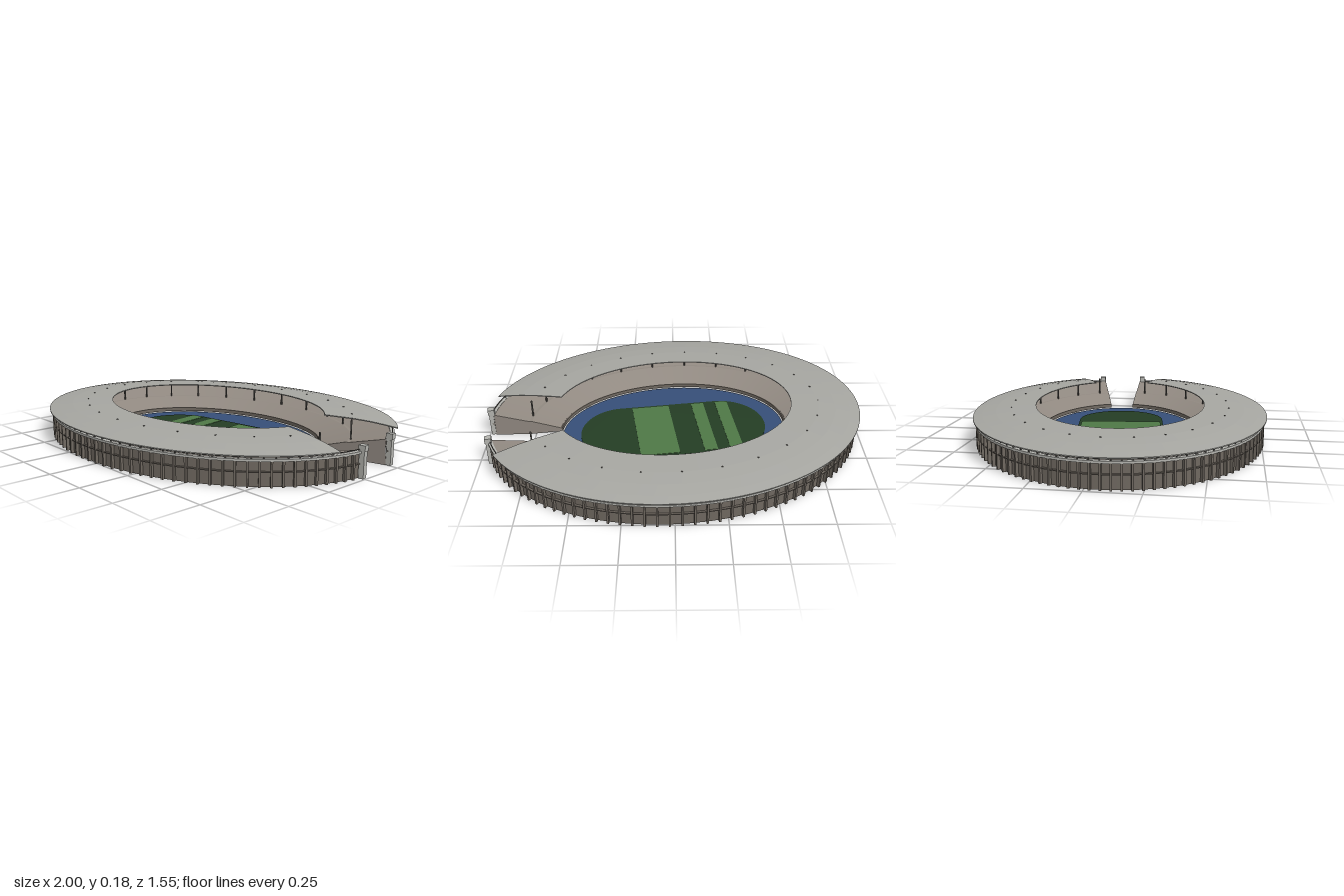
import * as THREE from 'three';
import { mergeGeometries } from 'three/addons/utils/BufferGeometryUtils.js';

const mat = (name, color, side = THREE.FrontSide) => {
  const m = new THREE.MeshStandardMaterial({ color, side });
  m.name = name;
  return m;
};

// Nested ellipses: half length a, matching half width b
const halfWidth = a => 0.421 + (a - 0.603) * 0.865;
const onRing = (a, t, y) => new THREE.Vector3(a * Math.cos(t), y, halfWidth(a) * Math.sin(t));

// Sweep an [a, y] profile round the oval; every profile edge is its own smooth strip
function sweep(profile, gap, { closed = false, caps = false, steps = 144 } = {}) {
  const pos = [], index = [];
  const put = (a, t, y) => pos.push(...onRing(a, t, y).toArray());
  const edges = closed ? profile.length : profile.length - 1;
  for (let e = 0; e < edges; e++) {
    const p = profile[e], q = profile[(e + 1) % profile.length];
    const base = pos.length / 3;
    for (let i = 0; i <= steps; i++) {
      const t = gap + (i / steps) * (2 * Math.PI - 2 * gap);
      put(p[0], t, p[1]);
      put(q[0], t, q[1]);
      if (i < steps) {
        const k = base + 2 * i;
        index.push(k, k + 1, k + 2, k + 1, k + 3, k + 2);
      }
    }
  }
  if (caps) {
    const faces = THREE.ShapeUtils.triangulateShape(profile.map(p => new THREE.Vector2(...p)), []);
    for (const t of [gap, -gap]) {
      const base = pos.length / 3;
      profile.forEach(p => put(p[0], t, p[1]));
      faces.forEach(([i, j, k]) => index.push(base + i, base + (t > 0 ? j : k), base + (t > 0 ? k : j)));
    }
  }
  const g = new THREE.BufferGeometry();
  g.setAttribute('position', new THREE.Float32BufferAttribute(pos, 3));
  g.setIndex(index);
  g.computeVertexNormals();
  return g;
}

// Repeated upright posts spaced round the oval
function posts(count, a, y0, y1, depth, width, gap) {
  const list = [];
  for (let i = 0; i < count; i++) {
    const t = gap + ((i + 0.5) / count) * (2 * Math.PI - 2 * gap);
    const p = onRing(a, t, (y0 + y1) / 2);
    const outward = Math.atan2(Math.sin(t) / halfWidth(a), Math.cos(t) / a);
    list.push(new THREE.BoxGeometry(depth, y1 - y0, width).rotateY(-outward).translate(p.x, p.y, p.z));
  }
  return mergeGeometries(list);
}

export function createModel() {
  const model = new THREE.Group();
  model.name = 'stadium';
  const roofGrey = mat('roofGrey', 0xa6a6a1, THREE.DoubleSide);
  const seatGrey = mat('seatingGrey', 0x918981, THREE.DoubleSide);
  const wallBrown = mat('wallBrown', 0x6f6860, THREE.DoubleSide);
  const steel = mat('darkSteel', 0x55524e);
  const stone = mat('paleStone', 0xb4b4af, THREE.DoubleSide);
  const blue = mat('trackBlue', 0x364f78);
  const dark = mat('darkGrass', 0x243d24);
  const light = mat('lightGrass', 0x4f7846);

  const add = (name, geometry, material) => {
    const mesh = new THREE.Mesh(geometry, material);
    mesh.name = name;
    model.add(mesh);
    return mesh;
  };
  const band = (a0, a1, y0, y1) => [[a0, y0], [a1, y0], [a1, y1], [a0, y1]];
  const gap = 0.155, roofGap = 0.36;

  // Oval running track
  const track = new THREE.CylinderGeometry(1, 1, 0.008, 128);
  track.scale(0.603, 1, halfWidth(0.603)).translate(0, 0.014, 0);
  add('track', track, blue);

  // Round-ended field
  const field = new THREE.Shape();
  field.absarc(0.267, 0, 0.237, -Math.PI / 2, Math.PI / 2);
  field.absarc(-0.267, 0, 0.237, Math.PI / 2, Math.PI * 1.5);
  field.closePath();
  const grass = new THREE.ExtrudeGeometry(field, { depth: 0.003, bevelEnabled: false, curveSegments: 32 });
  add('field', grass.rotateX(-Math.PI / 2).translate(0, 0.018, 0), dark);

  // Mown stripes: centre and width
  for (const [x, w] of [[-0.304, 0.07], [-0.167, 0.07], [0.102, 0.206]]) {
    add('mownStripe', new THREE.BoxGeometry(w, 0.002, 0.446).translate(x, 0.0222, 0), light);
  }

  // Two seating tiers with a walkway between them
  const tiers = [[0.612, 0.024], [0.616, 0.04], [0.77, 0.083], [0.785, 0.083], [0.968, 0.126]];
  add('seatingBowl', sweep(tiers, gap), seatGrey);
  add('trackParapet', sweep(band(0.607, 0.614, 0.022, 0.042), gap, { closed: true, caps: true }), wallBrown);

  // Closing walls at the entrance
  const section = [...tiers, [0.972, 0], [0.8, 0], [0.612, 0.02]];
  const faces = THREE.ShapeUtils.triangulateShape(section.map(p => new THREE.Vector2(...p)), []);
  for (const side of [1, -1]) {
    const g = new THREE.BufferGeometry().setFromPoints(section.map(p => onRing(p[0], side * gap, p[1])));
    g.setIndex(faces.flat());
    g.computeVertexNormals();
    add('entranceWall', g, seatGrey);

    // Gate pillar with a wider head
    const pillar = new THREE.Group();
    pillar.name = 'gatePillar';
    pillar.position.set(0.971, 0, side * 0.131);
    const shaft = new THREE.Mesh(new THREE.BoxGeometry(0.026, 0.13, 0.028).translate(0, 0.065, 0), stone);
    shaft.name = 'pillarShaft';
    const head = new THREE.Mesh(new THREE.BoxGeometry(0.034, 0.028, 0.032).translate(0, 0.141, 0), stone);
    head.name = 'pillarHead';
    pillar.add(shaft, head);
    model.add(pillar);
  }

  // Outer wall with ribs, a middle rail and a pale rim
  add('outerWall', sweep([[0.972, 0], [0.972, 0.118]], gap), wallBrown);
  add('wallRibs', posts(100, 0.981, 0, 0.118, 0.016, 0.01, gap), wallBrown);
  add('middleRail', sweep(band(0.972, 0.984, 0.066, 0.071), gap, { closed: true, caps: true }), wallBrown);
  add('wallRim', sweep(band(0.966, 0.989, 0.117, 0.128), gap, { closed: true, caps: true }), stone);
  add('rimPosts', posts(90, 0.979, 0.128, 0.148, 0.006, 0.006, roofGap), steel);
  add('rimRail', sweep(band(0.977, 0.981, 0.134, 0.137), gap, { closed: true, caps: true }), steel);

  // Curved ring roof, open over the entrance, on slim columns
  const top = [[1.004, 0.147], [0.95, 0.156], [0.87, 0.167], [0.78, 0.175], [0.633, 0.181]];
  const under = top.map(([a, y]) => [a, y - 0.005]).reverse();
  add('roof', sweep([...top, ...under], roofGap, { closed: true, caps: true }), roofGrey);
  add('roofColumns', posts(24, 0.78, 0.08, 0.1775, 0.007, 0.007, 0.13), steel);

  // The whole arena lies slightly turned
  const turned = new THREE.Group();
  turned.name = 'arena';
  model.rotation.y = 0.14;
  turned.add(model);
  return turned;
}
